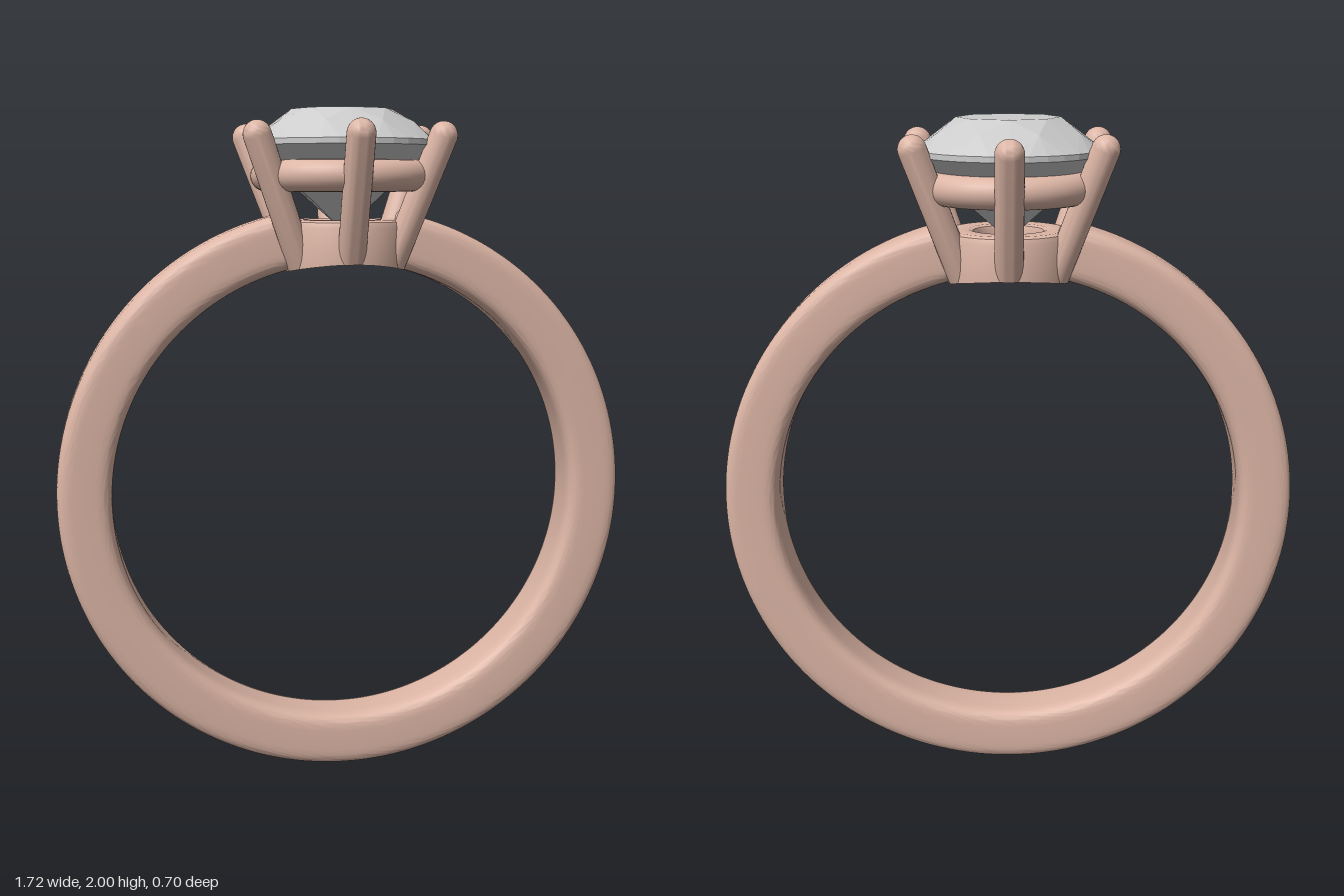
import * as THREE from 'three';
import { toCreasedNormals } from 'three/addons/utils/BufferGeometryUtils.js';
import { ConvexGeometry } from 'three/addons/geometries/ConvexGeometry.js';

const CY = 0.86;        // height of the band's axis
const R_IN = 0.697;     // finger hole radius
const R_OUT = 0.86;
const HALF_WIDTH = 0.09;
const TAU = Math.PI * 2;

const metal = new THREE.MeshStandardMaterial({ color: 0xdcb5a5 });
const stone = new THREE.MeshStandardMaterial({ color: 0xcccccc });

function addMesh(parent, name, geometry, material = metal) {
  const mesh = new THREE.Mesh(geometry, material);
  mesh.name = name;
  parent.add(mesh);
  return mesh;
}

function smooth(geometry, angle = 0.7) {
  geometry.deleteAttribute('uv');
  geometry.deleteAttribute('normal');
  return toCreasedNormals(geometry, angle);
}

// Lift every vertex that would reach into the finger hole onto its surface
function trimToFinger(geometry) {
  const p = geometry.attributes.position;
  for (let i = 0; i < p.count; i++) {
    const x = p.getX(i);
    p.setY(i, Math.max(p.getY(i), CY + Math.sqrt(R_IN ** 2 - x * x)));
  }
  return geometry;
}

// Soft-cornered section swept round, with ends shaped to meet the round collet
function bandGeometry() {
  const mid = (R_IN + R_OUT) / 2, half = (R_OUT - R_IN) / 2, section = [];
  const soft = v => Math.sign(v) * Math.abs(v) ** 0.42;
  const n = 64;
  for (let i = 0; i <= n; i++) {
    const t = ((i % n) / n) * TAU;
    section.push(new THREE.Vector2(mid + half * soft(Math.cos(t)), HALF_WIDTH * soft(Math.sin(t))));
  }
  const g = new THREE.LatheGeometry(section, 160);
  const p = g.attributes.position, uv = g.attributes.uv;
  for (let i = 0; i < p.count; i++) {
    const r = Math.hypot(p.getX(i), p.getZ(i)), z = -p.getY(i);
    const gap = Math.asin(Math.sqrt(0.165 ** 2 - z * z) / r);
    const a = gap + uv.getX(i) * (TAU - 2 * gap);
    p.setXYZ(i, r * Math.sin(a), CY + r * Math.cos(a), z);
  }
  return smooth(g);
}

// Open collet that joins band and prongs
function colletGeometry() {
  const profile = [
    [0.1, 1.5], [0.145, 1.5], [0.185, 1.5], [0.187, 1.66], [0.181, 1.676],
    [0.168, 1.682], [0.115, 1.682], [0.104, 1.677], [0.1, 1.665], [0.1, 1.5],
  ].map(([r, y]) => new THREE.Vector2(r, y));
  return smooth(trimToFinger(new THREE.LatheGeometry(profile, 72)));
}

// Leaning round prong with a domed tip
function prongGeometry(angle) {
  const r = 0.041;
  const foot = new THREE.Vector3(0.153, 1.53, 0), tip = new THREE.Vector3(0.309, 1.921, 0);
  const length = foot.distanceTo(tip);
  const profile = [new THREE.Vector2(0, 0), new THREE.Vector2(r, 0)];
  for (let i = 0; i <= 8; i++) {
    const t = (i / 8) * Math.PI / 2;
    profile.push(new THREE.Vector2(i === 8 ? 0 : r * Math.cos(t), length + r * Math.sin(t)));
  }
  const g = new THREE.LatheGeometry(profile, 28);
  g.rotateZ(-Math.atan2(tip.x - foot.x, tip.y - foot.y));
  g.translate(foot.x, foot.y, 0);
  g.rotateY(angle);
  return smooth(trimToFinger(g));
}

// Brilliant cut as the hull of its facet corners
function gemGeometry() {
  const points = [new THREE.Vector3(0, 1.65, 0)];
  const ring = (count, radius, y, offset = 0) => {
    for (let i = 0; i < count; i++) {
      const a = ((i + offset) / count) * TAU;
      points.push(new THREE.Vector3(radius * Math.sin(a), y, radius * Math.cos(a)));
    }
  };
  ring(8, 0.15, 2);             // table
  ring(8, 0.213, 1.963, 0.5);   // crown
  ring(32, 0.27, 1.911);        // girdle
  ring(32, 0.27, 1.895);
  ring(8, 0.1, 1.735, 0.5);     // pavilion
  return new ConvexGeometry(points);
}

export function createModel() {
  const model = new THREE.Group();
  model.name = 'solitaireRing';

  addMesh(model, 'band', bandGeometry());

  const setting = new THREE.Group();
  setting.name = 'setting';
  model.add(setting);
  addMesh(setting, 'collet', colletGeometry());

  const gallery = addMesh(setting, 'galleryRing', new THREE.TorusGeometry(0.226, 0.045, 24, 80));
  gallery.rotation.x = Math.PI / 2;
  gallery.position.y = 1.808;

  for (let i = 0; i < 6; i++) {
    addMesh(setting, 'prong' + (i + 1), prongGeometry(Math.PI / 6 + (i * Math.PI) / 3));
  }

  addMesh(model, 'gemstone', gemGeometry(), stone);
  return model;
}
